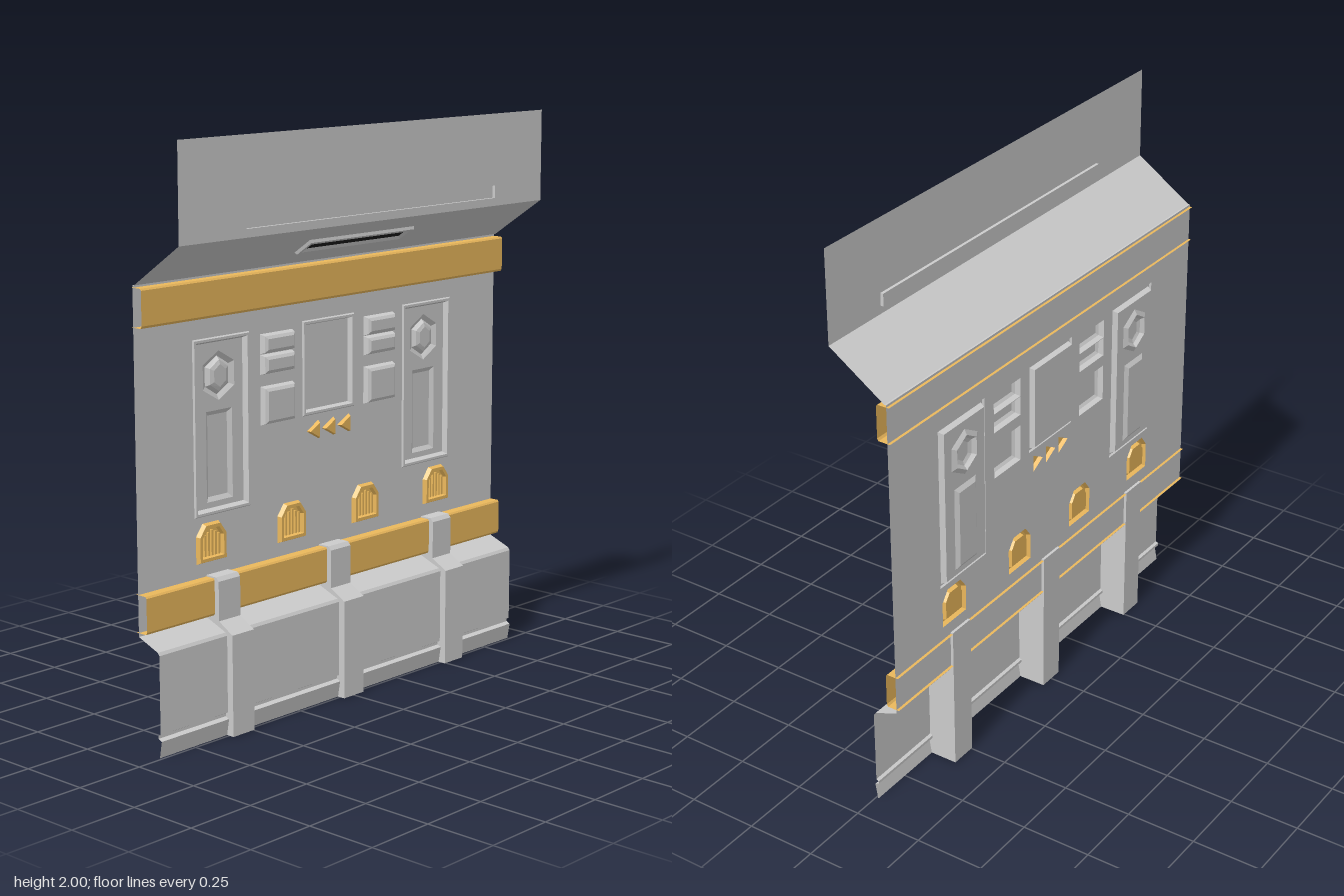
import * as THREE from 'three';

const mat = (color) => new THREE.MeshStandardMaterial({ color, side: THREE.DoubleSide, flatShading: true });
const GREY = mat(0xcccccc), GOLD = mat(0xebb85c), DARK = mat(0x1c1c1c);
const HALF = 0.9; // half length of the wall along z

function mesh(parent, name, geometry, material = GREY) {
  const m = new THREE.Mesh(geometry, material);
  m.name = name;
  parent.add(m);
  return m;
}

function fromTriangles(tris) {
  const g = new THREE.BufferGeometry();
  g.setAttribute('position', new THREE.Float32BufferAttribute(tris.flat(), 3));
  g.computeVertexNormals();
  return g;
}

// Open sheet: an x-y profile drawn along the whole wall
function sheet(profile) {
  const tris = [];
  for (let i = 0; i < profile.length - 1; i++) {
    const [a, b] = [profile[i], profile[i + 1]];
    const p = [[...a, HALF], [...a, -HALF], [...b, -HALF], [...b, HALF]];
    tris.push(p[0], p[1], p[2], p[0], p[2], p[3]);
  }
  return fromTriangles(tris.flat().map((v) => [v]));
}

const rect = (u0, v0, u1, v1) => [[u0, v0], [u1, v0], [u1, v1], [u0, v1]];

// Outline shrunk by a margin about the centre of its bounds
function inset(poly, d) {
  const us = poly.map((p) => p[0]), vs = poly.map((p) => p[1]);
  const [u0, u1, v0, v1] = [Math.min(...us), Math.max(...us), Math.min(...vs), Math.max(...vs)];
  const cu = (u0 + u1) / 2, cv = (v0 + v1) / 2;
  const su = 1 - (2 * d) / (u1 - u0), sv = 1 - (2 * d) / (v1 - v0);
  return poly.map(([u, v]) => [cu + (u - cu) * su, cv + (v - cv) * sv]);
}

// Raised or sunken form: steps are [inset, depth] of successive rings
function loft(poly, steps, cap = true) {
  const rings = steps.map(([d, w]) => inset(poly, d).map(([u, v]) => [u, v, w]));
  const tris = [], n = poly.length;
  for (let k = 0; k < rings.length - 1; k++) {
    for (let i = 0; i < n; i++) {
      const j = (i + 1) % n, a = rings[k], b = rings[k + 1];
      tris.push(a[i], a[j], b[j], a[i], b[j], b[i]);
    }
  }
  const top = rings[rings.length - 1];
  if (cap) for (let i = 1; i < n - 1; i++) tris.push(top[0], top[i], top[i + 1]);
  return fromTriangles(tris);
}

// Flat plate with openings
function plate(poly, holes, w = 0) {
  const toPts = (p) => p.map(([u, v]) => new THREE.Vector2(u, v));
  const shape = new THREE.Shape(toPts(poly));
  holes.forEach((h) => shape.holes.push(new THREE.Path(toPts(h))));
  return new THREE.ShapeGeometry(shape).translate(0, 0, w);
}

export function createModel() {
  const root = new THREE.Group();
  root.name = 'wallPanel';

  // Faces +x: local x runs along -z, local z is depth out of the wall
  const wall = new THREE.Group();
  wall.name = 'mainWall';
  wall.rotation.y = Math.PI / 2;
  wall.position.x = -0.1;
  root.add(wall);
  const holes = [];
  const fitting = (name, poly, steps, material, cap) => {
    holes.push(poly);
    return mesh(wall, name, loft(poly, steps, cap), material);
  };

  for (const s of [-1, 1]) {
    // Tall framed bay with a hexagonal knob and a sunken tray
    const c = s * 0.516;
    fitting('bayFrame', rect(c - 0.13, 0.735, c + 0.13, 1.328),
      [[0, 0], [0.004, 0.006], [0.012, 0.006], [0.02, -0.012]], GREY, false);
    const hex = Array.from({ length: 6 }, (_, i) => {
      const a = (i + 0.5) * Math.PI / 3;
      return [c + 0.083 * Math.cos(a), 1.195 + 0.083 * Math.sin(a)];
    });
    const tray = rect(c - 0.06, 0.775, c + 0.06, 1.08);
    mesh(wall, 'bayFloor', plate(rect(c - 0.11, 0.755, c + 0.11, 1.308), [hex, tray], -0.012));
    mesh(wall, 'hexKnob', loft(hex, [[0, -0.012], [0.018, -0.022], [0.03, -0.01], [0.045, -0.005]]));
    mesh(wall, 'bayTray', loft(tray, [[0, -0.012], [0.015, -0.022]]));

    // Raised square buttons, the upper one split in two
    const b = s * 0.257;
    for (const [v0, v1] of [[1.0, 1.132], [1.172, 1.24], [1.242, 1.31]]) {
      fitting('button', rect(b - 0.077, v0, b + 0.077, v1), [[0, 0], [0.006, 0.018], [0.016, 0.025]]);
    }
  }

  // Sunken central screen
  fitting('screen', rect(-0.13, 1.0, 0.13, 1.33), [[0, 0], [0.004, 0.006], [0.012, 0.006], [0.018, -0.012]]);

  // Arrow markers
  for (const u of [-0.11, -0.033, 0.045]) {
    fitting('arrowMarker', [[u, 0.945], [u + 0.058, 0.913], [u + 0.058, 0.977]], [[0, 0], [0.006, 0.015]], GOLD);
  }

  // Arched vents with upright slats
  for (const c of [-0.574, -0.19, 0.186, 0.57]) {
    const arch = [[-0.066, 0.578], [0.066, 0.578], [0.066, 0.672], [0.036, 0.712], [-0.036, 0.712], [-0.066, 0.672]]
      .map(([u, v]) => [u + c, v]);
    fitting('vent', arch, [[0, 0], [0.006, 0.015], [0.017, 0.015], [0.021, 0.001]], GOLD);
    for (let i = -2; i <= 2; i++) {
      const h = 0.088 - Math.abs(i) * 0.008;
      mesh(wall, 'ventSlat', new THREE.BoxGeometry(0.007, h, 0.008).translate(c + i * 0.016, 0.6 + h / 2, 0.005), GOLD);
    }
  }
  mesh(wall, 'wallSheet', plate(rect(-HALF, 0.39, HALF, 1.535), holes));

  // Gold channels, open at the back and ends
  for (const [name, y0, y1] of [['upperTrim', 1.4, 1.527], ['lowerTrim', 0.403, 0.53]]) {
    mesh(root, name, sheet([[-0.11, y0], [-0.066, y0], [-0.061, y0 + 0.008],
      [-0.061, y1 - 0.006], [-0.066, y1], [-0.11, y1]]), GOLD);
  }

  // Base: sloped ledge, panel, groove and skirting
  mesh(root, 'basePanel', sheet([[-0.1, 0.39], [-0.012, 0.355], [-0.005, 0.345], [-0.005, 0.08],
    [-0.015, 0.075], [-0.015, 0.065], [0.0, 0.058], [-0.01, 0]]));

  // Solid ribs
  const ribShape = new THREE.Shape([[-0.11, 0], [0.02, 0], [0.02, 0.35], [-0.042, 0.387],
    [-0.042, 0.522], [-0.054, 0.535], [-0.11, 0.535]].map((p) => new THREE.Vector2(...p)));
  for (const z of [-0.545, 0, 0.545]) {
    const rib = mesh(root, 'rib', new THREE.ExtrudeGeometry(ribShape, { depth: 0.1, bevelEnabled: false }));
    rib.position.z = z - 0.05;
  }

  // Overhanging slope and the upright panel above it
  mesh(root, 'overhang', sheet([[-0.1, 1.535], [-0.093, 1.535], [0.113, 1.675]]));
  const upper = new THREE.Group();
  upper.name = 'upperWall';
  upper.rotation.y = Math.PI / 2;
  upper.position.x = 0.113;
  root.add(upper);
  const strip = rect(-0.605, 1.703, 0.637, 1.747);
  mesh(upper, 'upperSheet', plate(rect(-HALF, 1.675, HALF, 2), [strip]));
  mesh(upper, 'recessedStrip', loft(strip, [[0, 0], [0, -0.011]]));

  // Slotted fixture under the overhang
  const fixture = new THREE.Group();
  fixture.name = 'slotFixture';
  fixture.rotation.order = 'YXZ';
  fixture.rotation.set(Math.atan2(0.206, 0.14), Math.PI / 2, 0);
  fixture.position.set(0.01, 1.605, 0.018 - 0.036);
  root.add(fixture);
  const frame = rect(-0.262, -0.043, 0.262, 0.043);
  mesh(fixture, 'slotFrame', loft(frame, [[0, 0], [0.004, 0.01], [0.016, 0.01], [0.026, 0.002]], false));
  mesh(fixture, 'slot', plate(inset(frame, 0.026), [], 0.002), DARK);

  return root;
}
